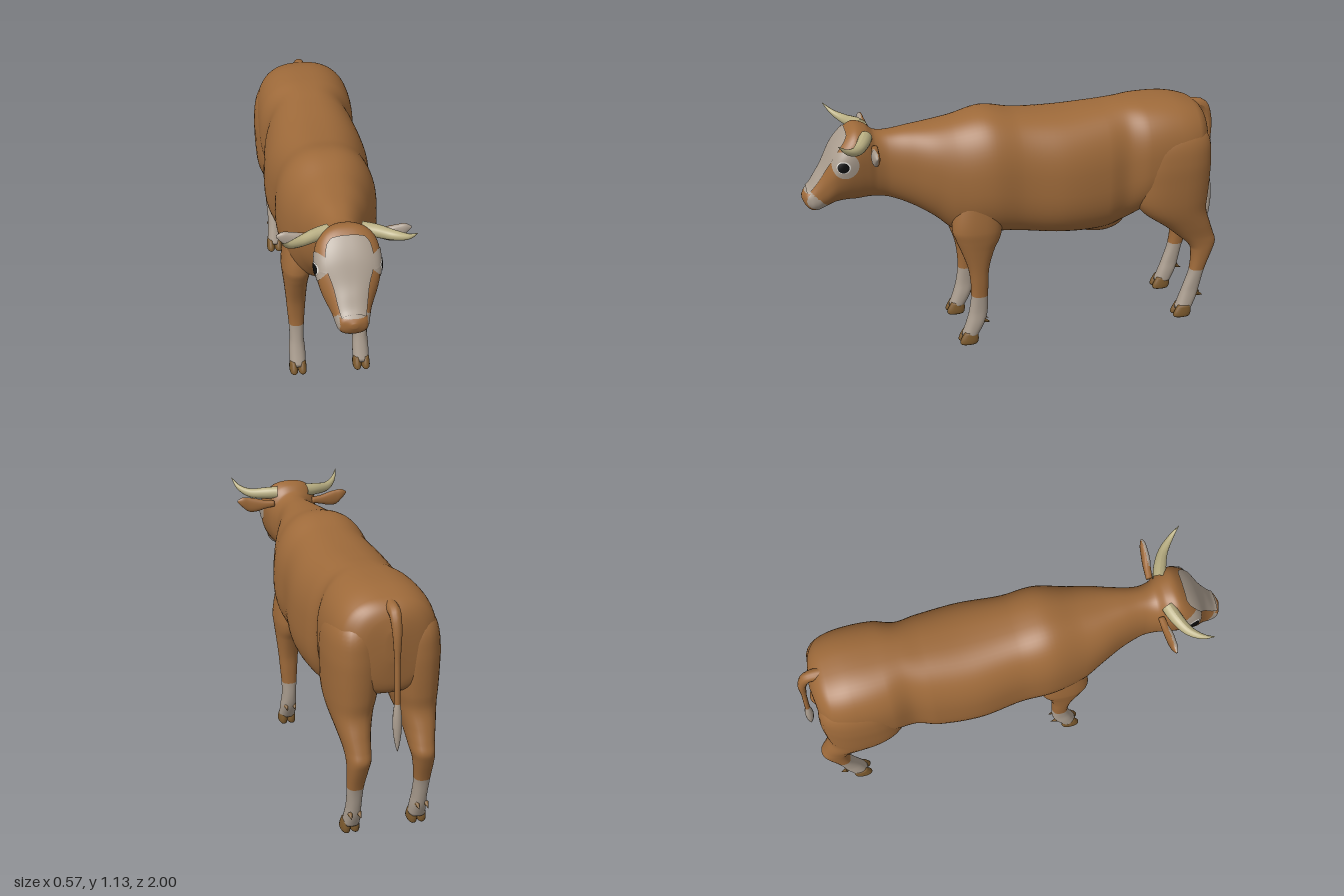
import * as THREE from 'three';

const mat = (name, color) => {
  const m = new THREE.MeshStandardMaterial({ color, side: THREE.DoubleSide });
  m.name = name;
  return m;
};

// Smooth interpolation of one column of a table whose first column is the position
function sample(rows, t) {
  let i = 0;
  while (i < rows.length - 2 && Math.abs(t - rows[0][0]) > Math.abs(rows[i + 1][0] - rows[0][0])) i++;
  const p = rows[i], q = rows[i + 1], o = rows[i - 1] ?? p, r = rows[i + 2] ?? q;
  const h = q[0] - p[0], s = (t - p[0]) / h;
  return p.map((_, c) => {
    if (c === 0) return t;
    const m0 = h * (q[c] - o[c]) / (q[0] - o[0]), m1 = h * (r[c] - p[c]) / (r[0] - p[0]);
    return p[c] * (1 + 2 * s) * (1 - s) ** 2 + m0 * s * (1 - s) ** 2
      + q[c] * s * s * (3 - 2 * s) + m1 * s * s * (s - 1);
  });
}

const power = (v, n) => Math.sign(v) * Math.abs(v) ** (2 / n);

// Point on a rounded cross-section: row = [t, aMin, aMax, bMin, bMax, roundness, taper]
function ringPoint(row, angle) {
  const [, a0, a1, b0, b1, n = 2.3, k = 0] = row;
  const v = power(Math.sin(angle), n);
  const u = power(Math.cos(angle), n) * (1 + k * v);
  return [(a0 + a1) / 2 + u * (a1 - a0) / 2, (b0 + b1) / 2 + v * (b1 - b0) / 2];
}

// Skin through cross-sections along an axis; pick(x, y, z) chooses a material index
function loft(name, rows, axis, materials, { side = 1, steps = 5, segs = 28, pick = () => 0 } = {}) {
  const pos = [], faces = materials.map(() => []);
  const put = (t, a, b) => {
    const p = axis === 'z' ? [a, b, t] : axis === 'y' ? [a, t, b] : [t, a, b];
    pos.push(p[0] * side, p[1], p[2]);
  };
  const rings = [];
  for (let i = 0; i < rows.length - 1; i++)
    for (let j = 0; j < steps; j++) rings.push(sample(rows, rows[i][0] + (rows[i + 1][0] - rows[i][0]) * j / steps));
  rings.push(rows[rows.length - 1]);
  rings.forEach(r => {
    for (let j = 0; j < segs; j++) put(r[0], ...ringPoint(r, j / segs * Math.PI * 2));
  });
  const last = rings.length - 1, ends = [rings[0], rings[last]];
  ends.forEach(r => put(r[0], (r[1] + r[2]) / 2, (r[3] + r[4]) / 2));
  const flip = (axis === 'y') !== (side < 0) !== (rows[1][0] < rows[0][0]);
  const tri = (a, b, c) => {
    const m = [0, 1, 2].map(d => (pos[a * 3 + d] + pos[b * 3 + d] + pos[c * 3 + d]) / 3);
    faces[pick(...m)].push(...(flip ? [a, c, b] : [a, b, c]));
  };
  const tail = rings.length * segs;
  for (let j = 0; j < segs; j++) {
    const k = (j + 1) % segs;
    for (let i = 0; i < last; i++) {
      const a = i * segs + j, b = i * segs + k;
      tri(a, b, b + segs);
      tri(a, b + segs, a + segs);
    }
    tri(tail, k, j);
    tri(tail + 1, last * segs + j, last * segs + k);
  }
  const g = new THREE.BufferGeometry();
  g.setAttribute('position', new THREE.Float32BufferAttribute(pos, 3));
  g.setIndex(faces.flat());
  let start = 0;
  faces.forEach((f, i) => { g.addGroup(start, f.length, i); start += f.length; });
  g.computeVertexNormals();
  const mesh = new THREE.Mesh(g, materials.length > 1 ? materials : materials[0]);
  mesh.name = name;
  return mesh;
}

// Thin skin from a grid function f(u, v) -> [x, y, z]
function sheet(name, f, nu, nv, material) {
  const g = new THREE.PlaneGeometry(1, 1, nu, nv), p = g.attributes.position, uv = g.attributes.uv;
  for (let i = 0; i < p.count; i++) p.setXYZ(i, ...f(uv.getX(i), uv.getY(i)));
  g.computeVertexNormals();
  const mesh = new THREE.Mesh(g, material);
  mesh.name = name;
  return mesh;
}

// Tube whose radius follows a rule
function taperedTube(name, points, radius, material) {
  const curve = new THREE.CatmullRomCurve3(points.map(p => new THREE.Vector3(...p)));
  const n = 28, g = new THREE.TubeGeometry(curve, n, 1, 14), p = g.attributes.position, v = new THREE.Vector3();
  for (let i = 0; i < p.count; i++) {
    const t = Math.floor(i / 15) / n, c = curve.getPointAt(t);
    v.fromBufferAttribute(p, i).sub(c).multiplyScalar(radius(t)).add(c);
    p.setXYZ(i, v.x, v.y, v.z);
  }
  g.computeVertexNormals();
  const mesh = new THREE.Mesh(g, material);
  mesh.name = name;
  return mesh;
}

// Trunk, neck and head: z, bottom, top, half width, roundness, taper
const bodyRows = [
  [-.93, .84, .97, .03, 2.3, 0], [-.915, .72, 1.03, .13, 2.4, 0], [-.89, .68, 1.07, .18, 2.5, 0],
  [-.85, .66, 1.095, .215, 2.5, 0], [-.75, .62, 1.12, .235, 2.5, 0], [-.6, .57, 1.125, .235, 2.5, 0],
  [-.5, .52, 1.12, .213, 2.5, -.03], [-.4, .495, 1.11, .235, 2.5, -.05], [-.2, .5, 1.1, .25, 2.5, -.05],
  [0, .525, 1.11, .228, 2.5, -.04], [.15, .54, 1.135, .232, 2.4, -.05], [.3, .555, 1.105, .2, 2.3, -.05],
  [.4, .635, 1.09, .165, 2.3, 0], [.5, .7, 1.08, .125, 2.3, 0], [.6, .745, 1.07, .1, 2.2, 0],
  [.66, .757, 1.075, .105, 2.2, .05], [.7, .76, 1.105, .12, 2.3, .12], [.75, .757, 1.115, .132, 2.4, .18],
  [.8, .758, 1.08, .134, 2.4, .2], [.85, .752, 1.02, .122, 2.4, .2], [.9, .73, .93, .09, 2.4, .12],
  [.93, .718, .885, .077, 2.4, .03], [.96, .722, .84, .068, 2.4, 0], [.985, .745, .818, .053, 2.4, 0],
  [1, .775, .797, .012, 2.2, 0],
].map(([z, lo, hi, w, n, k]) => [z, -w, w, lo, hi, n, k]);

// Half width of the head at a height and depth
function headX(y, z) {
  const [, , w, lo, hi, n, k] = sample(bodyRows, z);
  const v = THREE.MathUtils.clamp((y - (lo + hi) / 2) / (hi - lo) * 2, -.93, .93);
  return w * (1 + k * v) * (1 - Math.abs(v) ** n) ** (1 / n);
}

// Legs: y, inner x, outer x, rear z, front z
const frontLegRows = [
  [.85, .08, .19, .12, .27], [.7, .07, .212, .1, .32], [.6, .08, .222, .1, .335], [.55, .09, .218, .11, .32],
  [.5, .1, .212, .135, .3], [.4, .108, .202, .163, .265], [.32, .113, .196, .168, .252],
  [.25, .117, .19, .17, .25], [.17, .12, .187, .172, .26], [.11, .115, .192, .185, .275], [.04, .115, .192, .222, .298],
];
const hindLegRows = [
  [1.03, .07, .18, -.85, -.65], [.95, .04, .232, -.91, -.57], [.85, .02, .25, -.925, -.545],
  [.75, .02, .25, -.925, -.54], [.65, .03, .245, -.92, -.55], [.58, .05, .235, -.915, -.6],
  [.5, .075, .215, -.94, -.71], [.44, .085, .2, -.962, -.78], [.4, .09, .195, -.975, -.825],
  [.36, .1, .193, -.965, -.853], [.25, .115, .187, -.925, -.852], [.15, .118, .182, -.905, -.822],
  [.1, .115, .185, -.893, -.805], [.04, .115, .19, -.868, -.785],
];
const earRows = [
  [.1, 1.01, 1.04, .655, .685], [.15, 1.0, 1.045, .658, .692], [.19, .988, 1.055, .662, .7],
  [.23, .99, 1.063, .667, .7], [.26, 1.015, 1.065, .67, .698], [.285, 1.042, 1.052, .68, .69],
];

export function createModel() {
  const model = new THREE.Group();
  model.name = 'cow';
  const coat = mat('brown coat', 0x9e6a3a), pale = mat('pale hair', 0xaa9d8f), horn = mat('horn', 0xb8ae82);
  const hoof = mat('hoof', 0x7c5a2e), black = mat('pupil', 0x0c0c0c), white = mat('eye white', 0xe0dcd6);

  // Body with pale muzzle band and brown nose
  model.add(loft('body', bodyRows, 'z', [coat, pale], {
    steps: 7, segs: 64,
    pick: (x, y, z) => {
      const nose = z > .942 && y < .815 && y > .728 && Math.abs(x) < .058;
      return z > .86 && z - y > .137 && !nose ? 1 : 0;
    },
  }));

  // Blaze on the face: z, half width
  const blazeRows = [[.785, .07], [.8, .092], [.85, .103], [.895, .077], [.93, .064], [.975, .05]];
  model.add(sheet('blaze', (u, v) => {
    const z = .785 + (1 - v) * .19, row = sample(bodyRows, z);
    const c = Math.min(.95, sample(blazeRows, z)[1] / (row[2] * (1 + row[6])));
    const half = Math.asin(c ** (row[5] / 2));
    const [x, y] = ringPoint(row, Math.PI / 2 + (1 - 2 * u) * half);
    return [x * 1.01, y + .004, z + .004];
  }, 24, 30, pale));

  // Udder
  const udder = new THREE.Mesh(new THREE.SphereGeometry(1, 32, 20), coat);
  udder.name = 'udder';
  udder.scale.set(.13, .075, .15);
  udder.position.set(0, .54, -.4);
  model.add(udder);

  // Tail and tuft
  model.add(taperedTube('tail', [[0, 1.06, -.86], [0, 1.05, -.925], [0, .98, -.957], [0, .85, -.968], [0, .62, -.98]],
    t => .03 - .018 * Math.min(1, t * 1.8), coat));
  model.add(taperedTube('tailTuft', [[0, .67, -.977], [0, .56, -.982], [0, .45, -.99]],
    t => .019 * Math.sin(Math.PI * (.16 + .84 * t)) ** .8 + .001, pale));

  for (const side of [1, -1]) {
    const tag = side > 0 ? 'left' : 'right';

    // Legs with pale socks, cloven hooves and dewclaws
    [['Front', frontLegRows, 0], ['Hind', hindLegRows, -1.083]].forEach(([end, rows, dz]) => {
      const leg = new THREE.Group();
      leg.name = tag + end + 'Leg';
      leg.add(loft('limb', rows, 'y', [coat, pale], { side, segs: 32, pick: (x, y) => (y < .25 ? 1 : 0) }));
      for (const x of [.113, .154]) {
        const toe = [[.062, x + .004, x + .036, dz + .225, dz + .288], [.03, x, x + .041, dz + .222, dz + .306],
          [.008, x, x + .041, dz + .225, dz + .312], [0, x + .004, x + .036, dz + .23, dz + .306]];
        leg.add(loft('hoof', toe, 'y', [hoof], { side, steps: 3, segs: 18 }));
        const claw = new THREE.Mesh(new THREE.ConeGeometry(.012, .035, 10), hoof);
        claw.name = 'dewclaw';
        claw.position.set(side * (x + .02), .112, dz + .178);
        claw.rotation.x = -2;
        leg.add(claw);
      }
      model.add(leg);
    });

    // Ear with pale inside
    model.add(loft(tag + 'Ear', earRows, 'x', [coat, pale], {
      side, segs: 24, pick: (x, y, z) => (z > .681 && Math.abs(x) > .15 ? 1 : 0),
    }));

    // Horn
    model.add(taperedTube(tag + 'Horn', [[.07, 1.07, .705], [.13, 1.066, .725], [.2, 1.062, .762],
      [.25, 1.082, .81], [.278, 1.122, .852]].map(([x, y, z]) => [x * side, y, z]),
      t => .03 * (1 - t ** 1.8) + .001, horn));

    // Eye patch, eye white and pupil laid on the head
    [['EyePatch', .967, .805, .062, .06, .003, pale], ['EyeWhite', .962, .814, .028, .031, .006, white],
      ['Pupil', .962, .815, .024, .026, .008, black]].forEach(([name, cy, cz, ry, rz, lift, m]) => {
      model.add(sheet(tag + name, (u, v) => {
        const a = u * Math.PI * 2, y = cy + Math.sin(a) * v * ry, z = cz + Math.cos(a) * v * rz;
        return [side * (headX(y, z) + lift), y, z + lift * .4];
      }, 32, 8, m));
    });
  }
  return model;
}
